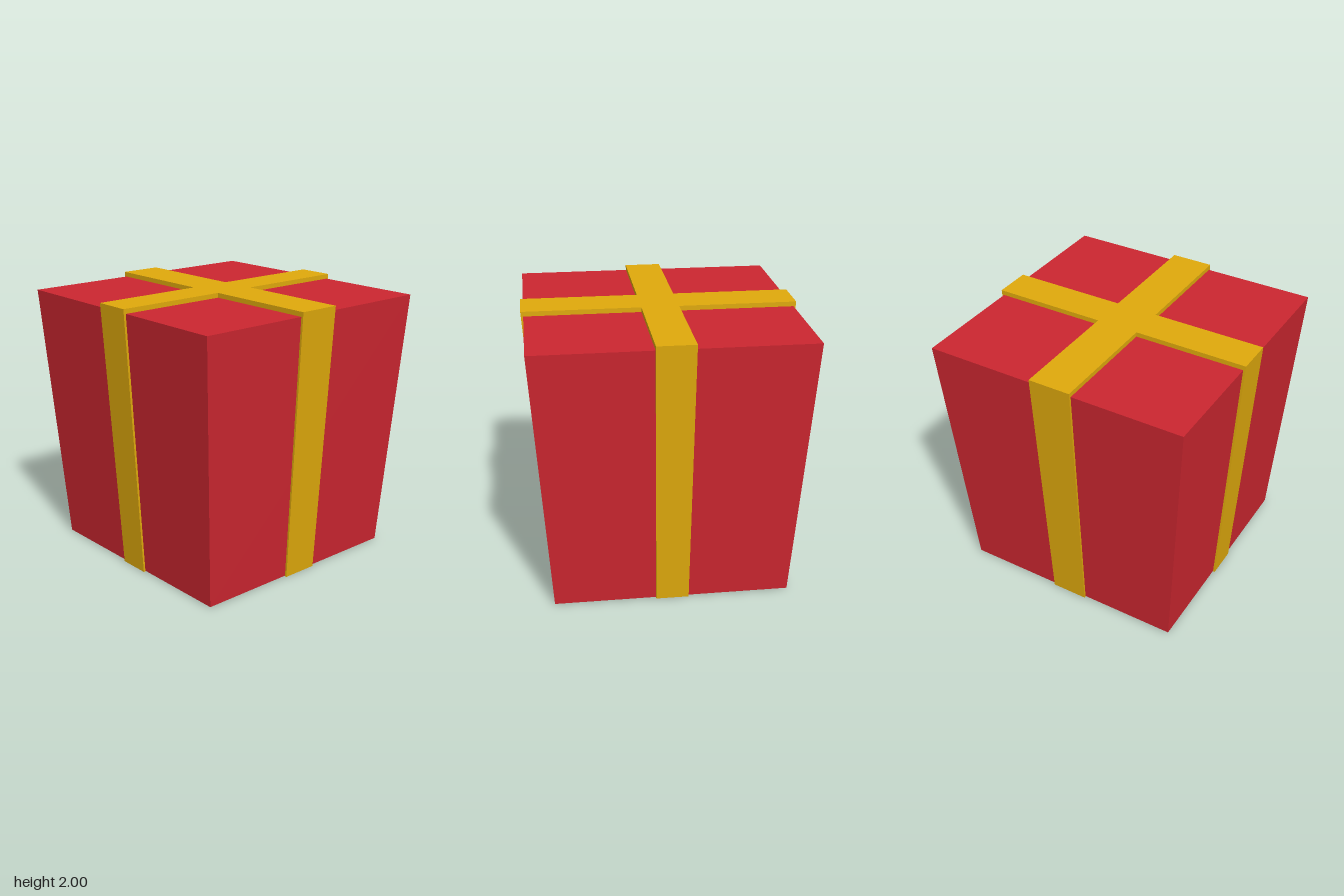
import * as THREE from 'three';

// Narrow a shape towards its base: full size at y = 2, 0.873 of it at y = 0
function taper(geometry) {
  const p = geometry.attributes.position;
  for (let i = 0; i < p.count; i++) {
    const s = 0.873 + 0.127 * (p.getY(i) / 2);
    p.setX(i, p.getX(i) * s);
    p.setZ(i, p.getZ(i) * s);
  }
  geometry.computeVertexNormals();
  return geometry;
}

function part(name, geometry, color) {
  const material = new THREE.MeshStandardMaterial({ color, flatShading: true });
  const mesh = new THREE.Mesh(taper(geometry), material);
  mesh.name = name;
  return mesh;
}

export function createModel() {
  const group = new THREE.Group();
  group.name = 'giftBox';

  // Tapered box, slightly inside the ribbon on every side
  const box = new THREE.BoxGeometry(1.966, 1.96, 1.966);
  box.translate(0, 0.985, 0);
  group.add(part('box', box, 0xcc2630));

  // Two crossing ribbons as one plus-shaped prism around the box
  const a = 0.157; // half width of the front-to-back ribbon
  const b = 0.137; // half width of the side-to-side ribbon
  const plus = new THREE.Shape([
    [a, -1], [a, -b], [1, -b], [1, b], [a, b], [a, 1],
    [-a, 1], [-a, b], [-1, b], [-1, -b], [-a, -b], [-a, -1],
  ].map(([x, y]) => new THREE.Vector2(x, y)));
  const ribbon = new THREE.ExtrudeGeometry(plus, { depth: 2, bevelEnabled: false });
  ribbon.rotateX(-Math.PI / 2);
  group.add(part('ribbon', ribbon, 0xe0aa0c));

  return group;
}
